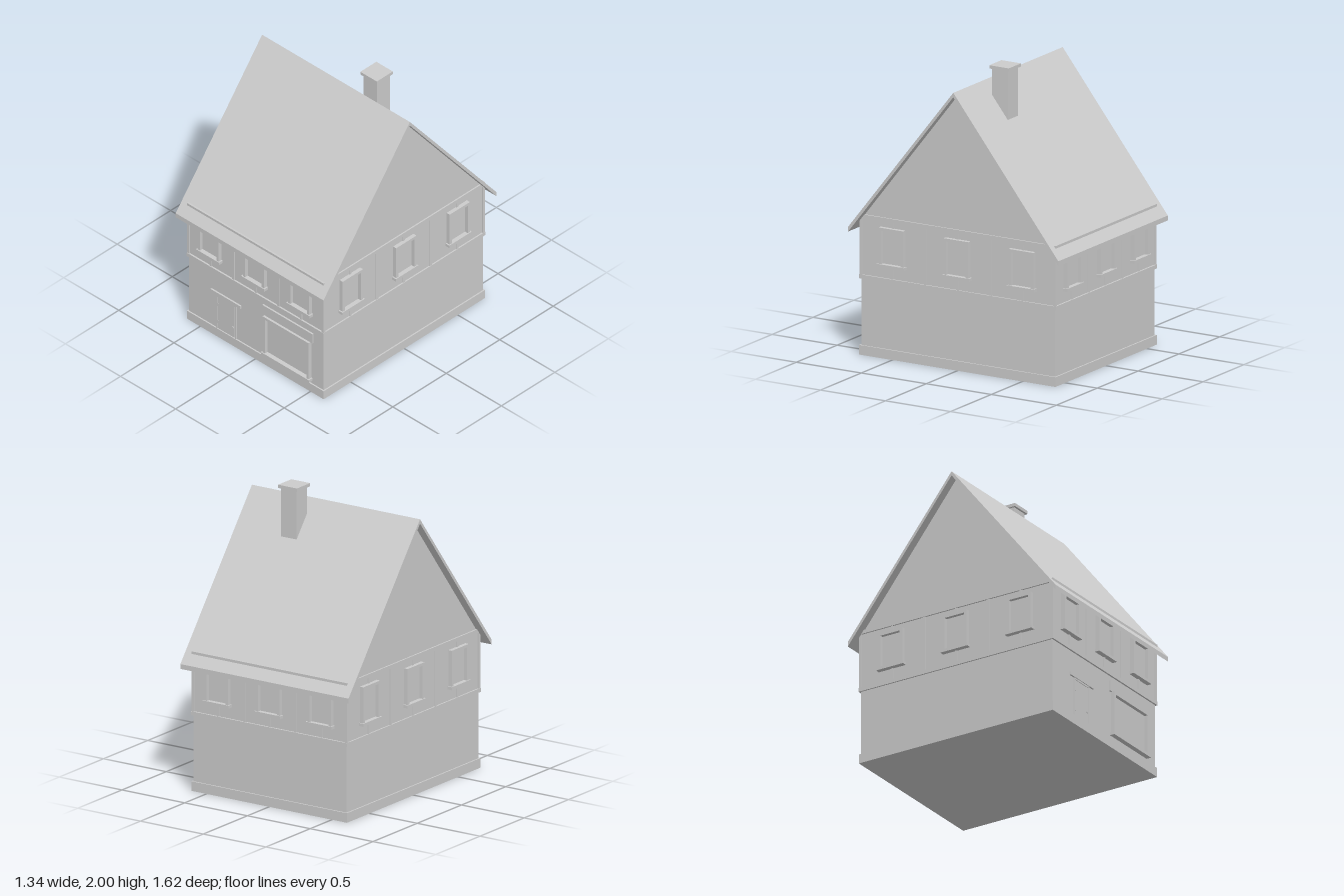
import * as THREE from 'three';

const stone = new THREE.MeshStandardMaterial({ color: 0xcccccc });
stone.name = 'plain grey';

const HX = 0.61, HZ = 0.745; // wall half width and half depth

function add(parent, name, geometry) {
  const mesh = new THREE.Mesh(geometry, stone);
  mesh.name = name;
  parent.add(mesh);
  return mesh;
}

// Box given by its limits on each axis
function box(parent, name, x0, x1, y0, y1, z0, z1) {
  const mesh = add(parent, name, new THREE.BoxGeometry(x1 - x0, y1 - y0, z1 - z0));
  mesh.position.set((x0 + x1) / 2, (y0 + y1) / 2, (z0 + z1) / 2);
  return mesh;
}

// Extrudes a [z, y] outline along x, centred
function extrudeAlongX(parent, name, outline, halfWidth) {
  const shape = new THREE.Shape(outline.map(([z, y]) => new THREE.Vector2(-z, y)));
  const geometry = new THREE.ExtrudeGeometry(shape, { depth: halfWidth * 2, bevelEnabled: false });
  geometry.translate(0, 0, -halfWidth).rotateY(Math.PI / 2);
  return add(parent, name, geometry);
}

// Framed opening on a facade: z = 0 is the wall face
function framedWindow(parent, name, x, halfWidth, y0, y1, depth) {
  const g = new THREE.Group();
  g.name = name;
  g.position.x = x;
  parent.add(g);
  for (const s of [-1, 1]) {
    const c = s * (halfWidth - 0.01);
    box(g, 'windowJamb', c - 0.01, c + 0.01, y0 + 0.02, y1 - 0.02, -0.005, depth);
  }
  box(g, 'windowHead', -halfWidth, halfWidth, y1 - 0.02, y1, -0.005, depth);
  box(g, 'windowSill', -halfWidth - 0.01, halfWidth + 0.01, y0, y0 + 0.02, -0.005, depth + 0.007);
  box(g, 'windowPane', -halfWidth + 0.02, halfWidth - 0.02, y0 + 0.02, y1 - 0.02, -0.004, 0.003);
}

// Upper storey timber posts and three windows on one side
function timberFacade(parent, name, half, spacing) {
  const g = new THREE.Group();
  g.name = name;
  parent.add(g);
  for (const x of [-spacing / 2, spacing / 2]) {
    box(g, 'post', x - 0.01, x + 0.01, 0.54, 0.93, -0.005, 0.007);
  }
  for (const s of [-1, 1]) {
    box(g, 'cornerPost', s * half - 0.009, s * half + 0.009, 0.54, 0.93, -0.009, 0.008);
  }
  for (const x of [-spacing, 0, spacing]) {
    framedWindow(g, 'window', x, 0.095, 0.62, 0.885, 0.028);
    box(g, 'lowerStud', x - 0.008, x + 0.008, 0.54, 0.62, -0.005, 0.007);
    box(g, 'upperStud', x - 0.008, x + 0.008, 0.885, 0.93, -0.005, 0.007);
  }
  return g;
}

export function createModel() {
  const house = new THREE.Group();
  house.name = 'timberHouse';

  // Walls with gables, plinth and floor beam
  extrudeAlongX(house, 'walls',
    [[HZ, 0.01], [-HZ, 0.01], [-HZ, 0.92], [0, 1.857], [HZ, 0.92]], HX);
  box(house, 'plinth', -0.62, 0.62, 0, 0.065, -0.755, 0.755);
  box(house, 'floorBeam', -0.62, 0.62, 0.515, 0.542, -0.757, 0.757);

  // Wall plates under the eaves and across the gables
  for (const s of [-1, 1]) {
    box(house, 'eavesBeam', -0.62, 0.62, 0.925, 0.95, s * 0.748 - 0.008, s * 0.748 + 0.008);
    box(house, 'gableBeam', s * 0.612 - 0.008, s * 0.612 + 0.008, 0.925, 0.95, -0.75, 0.75);
  }

  // Timber framing on all four sides
  timberFacade(house, 'frontFacade', HX, 0.41).position.z = HZ;
  const back = timberFacade(house, 'backFacade', HX, 0.41);
  back.position.z = -HZ;
  back.rotation.y = Math.PI;
  for (const s of [-1, 1]) {
    const side = timberFacade(house, s > 0 ? 'leftFacade' : 'rightFacade', HZ, 0.5);
    side.position.x = s * HX;
    side.rotation.y = s * Math.PI / 2;
  }

  // Roof
  extrudeAlongX(house, 'roof',
    [[0, 1.887], [0.808, 0.867], [0.808, 0.834], [0, 1.857], [-0.808, 0.834], [-0.808, 0.867]], 0.67);

  // Chimney
  box(house, 'chimneyShaft', 0.18, 0.305, 1.5, 1.98, -0.19, -0.07);
  box(house, 'chimneyCap', 0.167, 0.317, 1.978, 2, -0.205, -0.055);

  // Ground floor front
  const front = new THREE.Group();
  front.name = 'groundFloorFront';
  front.position.z = HZ;
  house.add(front);
  framedWindow(front, 'shopWindow', 0.292, 0.208, 0.09, 0.405, 0.028);
  box(front, 'shopFascia', 0.065, 0.52, 0.405, 0.48, -0.005, 0.012);

  // Door with frame, hinges and handle
  box(front, 'doorLintel', -0.405, -0.135, 0.337, 0.36, -0.005, 0.012);
  box(front, 'doorPanel', -0.345, -0.195, 0.065, 0.325, -0.004, 0.003);
  box(front, 'doorHead', -0.357, -0.177, 0.325, 0.337, -0.005, 0.007);
  for (const x of [-0.351, -0.183]) {
    box(front, 'doorJamb', x - 0.006, x + 0.006, 0.065, 0.325, -0.005, 0.007);
  }
  for (const y of [0.12, 0.26]) {
    box(front, 'doorHinge', -0.345, -0.335, y - 0.012, y + 0.012, 0, 0.006);
  }
  box(front, 'doorHandle', -0.212, -0.2, 0.14, 0.15, 0, 0.009);

  return house;
}
